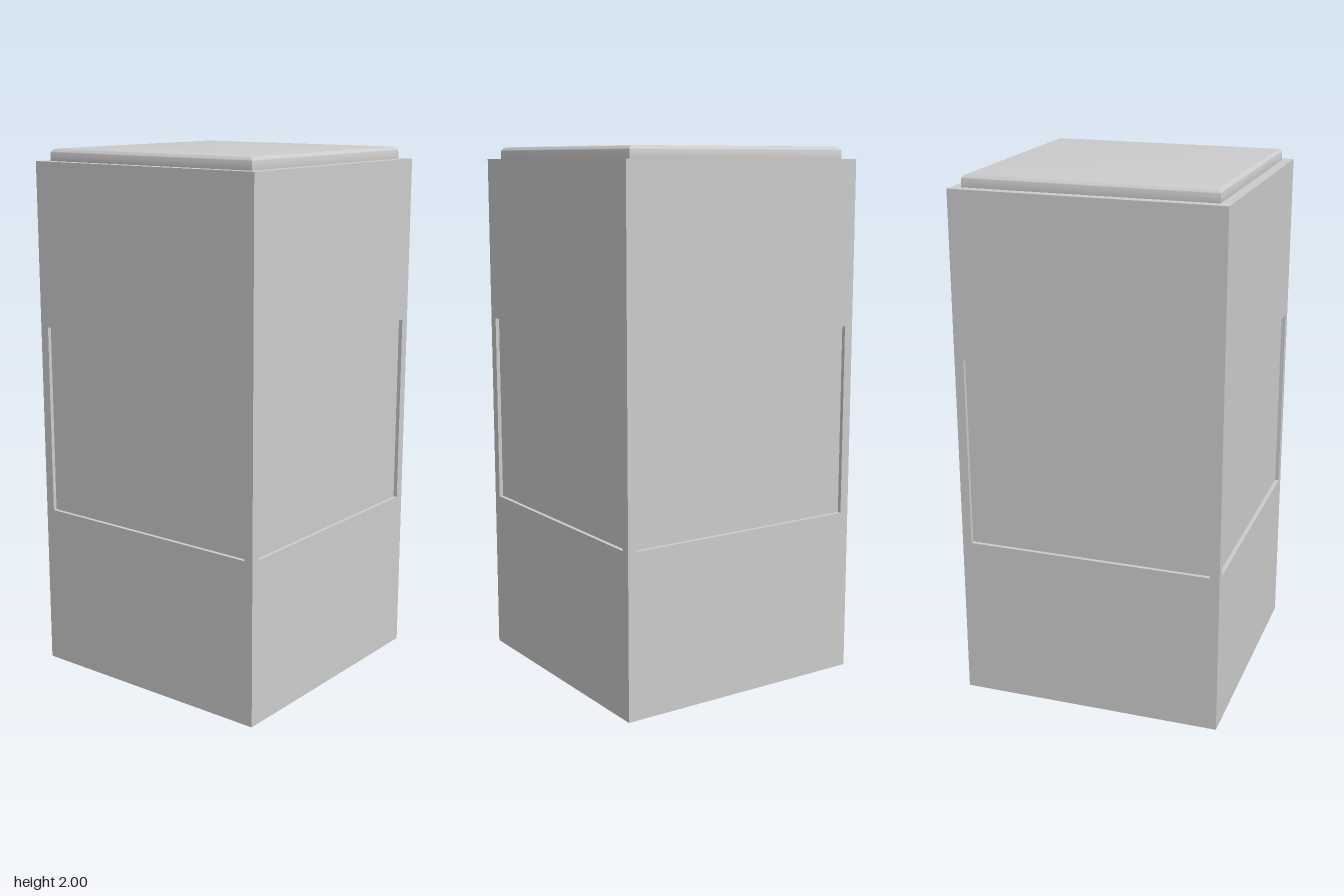
import * as THREE from 'three';
import { mergeGeometries, toCreasedNormals } from 'three/addons/utils/BufferGeometryUtils.js';

const HALF = 0.5, BODY_TOP = 1.955;
const WIN_HALF = 0.465, WIN_LOW = 0.62, WIN_HIGH = 1.34, DEPTH = 0.015;

function rectangle(Type, x, y0, y1) {
  const path = new Type();
  path.moveTo(-x, y0).lineTo(x, y0).lineTo(x, y1).lineTo(-x, y1).closePath();
  return path;
}

// One wall with a rectangular opening and the four narrow faces of its recess
function wallGeometry() {
  const outline = rectangle(THREE.Shape, HALF, 0, BODY_TOP);
  outline.holes.push(rectangle(THREE.Path, WIN_HALF, WIN_LOW, WIN_HIGH));
  const width = WIN_HALF * 2, height = WIN_HIGH - WIN_LOW;
  const z = HALF - DEPTH / 2, midY = (WIN_LOW + WIN_HIGH) / 2;
  return mergeGeometries([
    new THREE.ShapeGeometry(outline).translate(0, 0, HALF),
    new THREE.PlaneGeometry(width, DEPTH).rotateX(-Math.PI / 2).translate(0, WIN_LOW, z),
    new THREE.PlaneGeometry(width, DEPTH).rotateX(Math.PI / 2).translate(0, WIN_HIGH, z),
    new THREE.PlaneGeometry(DEPTH, height).rotateY(Math.PI / 2).translate(-WIN_HALF, midY, z),
    new THREE.PlaneGeometry(DEPTH, height).rotateY(-Math.PI / 2).translate(WIN_HALF, midY, z),
  ]);
}

// Square slab with mitred corners and a rounded top edge; its lower bevel is sunk in the body
function lidGeometry() {
  const half = 0.462, bevel = 0.02, straight = 2 - BODY_TOP - bevel;
  const geometry = new THREE.ExtrudeGeometry(rectangle(THREE.Shape, half, -half, half), {
    depth: straight, bevelEnabled: true, bevelSize: bevel, bevelOffset: -bevel,
    bevelThickness: bevel, bevelSegments: 6,
  });
  geometry.rotateX(-Math.PI / 2).translate(0, BODY_TOP, 0);
  return toCreasedNormals(geometry, 0.6);
}

export function createModel() {
  const model = new THREE.Group();
  const bodyMaterial = new THREE.MeshStandardMaterial({ color: 0xcccccc });
  const panelMaterial = new THREE.MeshStandardMaterial({ color: 0xeeeeee });

  const add = (name, geometry, material) => {
    const mesh = new THREE.Mesh(geometry, material);
    mesh.name = name;
    model.add(mesh);
    return mesh;
  };

  // Closed body: four recessed walls, roof and base
  const walls = [0, 1, 2, 3].map((i) => wallGeometry().rotateY(i * Math.PI / 2));
  const roof = new THREE.PlaneGeometry(1, 1).rotateX(-Math.PI / 2).translate(0, BODY_TOP, 0);
  const base = new THREE.PlaneGeometry(1, 1).rotateX(Math.PI / 2);
  add('body', mergeGeometries([...walls, roof, base]), bodyMaterial);

  // Light panels at the back of the recesses
  const panel = new THREE.PlaneGeometry(WIN_HALF * 2, WIN_HIGH - WIN_LOW)
    .translate(0, (WIN_LOW + WIN_HIGH) / 2, HALF - DEPTH);
  ['frontPanel', 'leftPanel', 'backPanel', 'rightPanel'].forEach((name, i) => {
    add(name, panel, panelMaterial).rotation.y = i * Math.PI / 2;
  });

  add('lid', lidGeometry(), bodyMaterial);
  return model;
}
